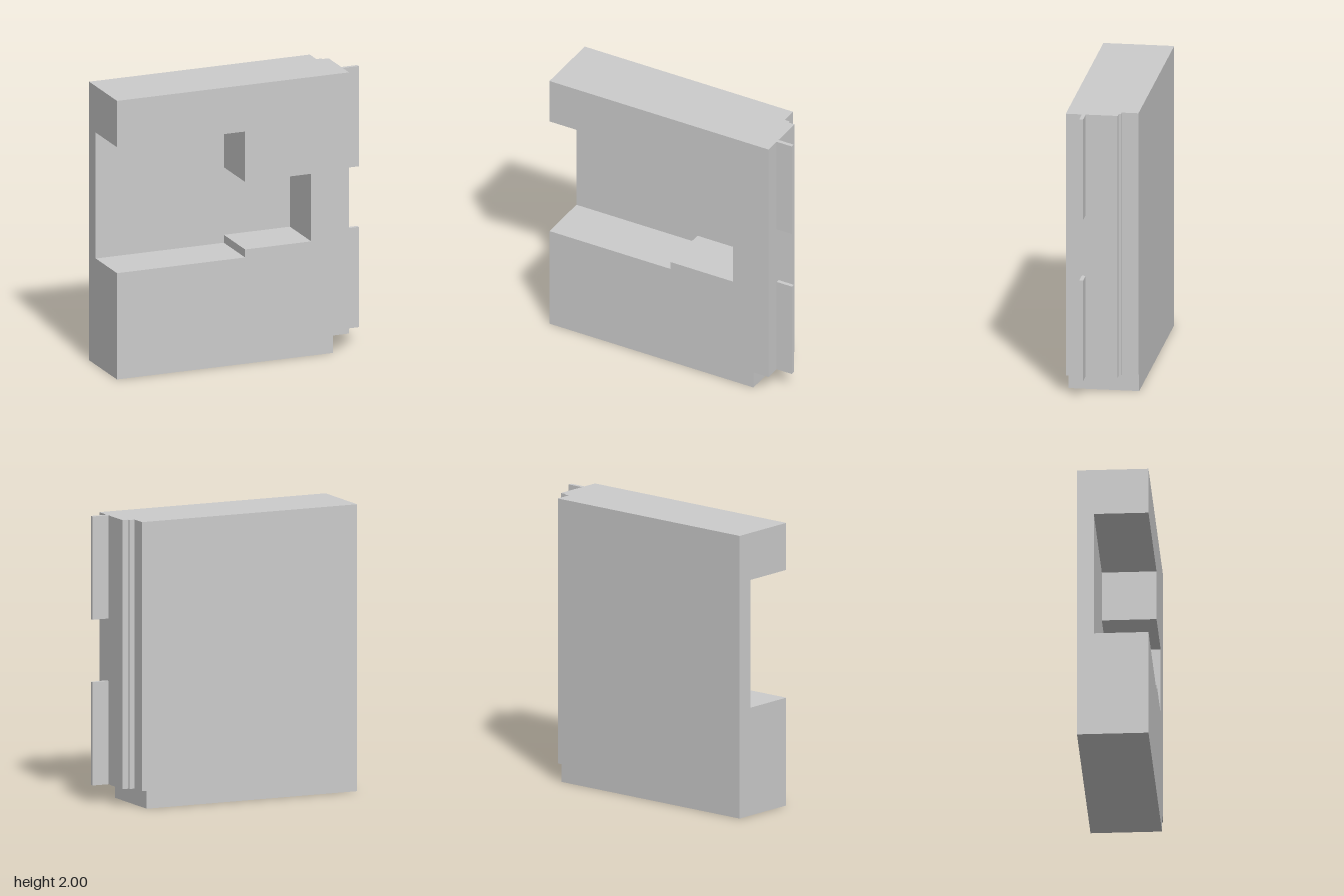
import * as THREE from 'three';

const material = new THREE.MeshStandardMaterial({ color: 0xcccccc, flatShading: true });
const LEFT = -0.925, TOP = 2, FOOT_X = 0.685, FOOT_Y = 0.125;

// stepped pocket, open towards -x
const pocket = [
  [LEFT, 0.763], [0.03, 0.763], [0.03, 0.82], [0.523, 0.82],
  [0.523, 1.305], [0.03, 1.305], [0.03, 1.667], [LEFT, 1.667],
];

// one slice of the slab: its +x edge, its z range, and whether the pocket cuts it
function slab(name, right, z0, z1, cut) {
  const outline = [
    [LEFT, 0], [FOOT_X, 0], [FOOT_X, FOOT_Y], [right, FOOT_Y], [right, TOP], [LEFT, TOP],
  ];
  if (cut) outline.push(...[...pocket].reverse());
  const shape = new THREE.Shape(outline.map(([x, y]) => new THREE.Vector2(x, y)));
  const geometry = new THREE.ExtrudeGeometry(shape, { depth: z1 - z0, bevelEnabled: false });
  geometry.translate(0, 0, z0);
  const mesh = new THREE.Mesh(geometry, material);
  mesh.name = name;
  return mesh;
}

export function createModel() {
  const group = new THREE.Group();
  group.name = 'steppedPanel';

  // slices step outwards from back to front, forming the rebate on the +x edge
  group.add(
    slab('backWall', 0.72, -0.246, -0.13, false),
    slab('rebateStep', 0.76, -0.13, -0.115, true),
    slab('frontBody', 0.805, -0.115, 0.246, true),
  );

  // two thin tongues standing out from the +x edge
  for (const [name, y0, y1] of [['lowerTongue', FOOT_Y, 0.845], ['upperTongue', 1.28, TOP]]) {
    const tongue = new THREE.Mesh(new THREE.BoxGeometry(0.12, y1 - y0, 0.027), material);
    tongue.name = name;
    tongue.position.set(0.865, (y0 + y1) / 2, 0.121);
    group.add(tongue);
  }
  return group;
}
